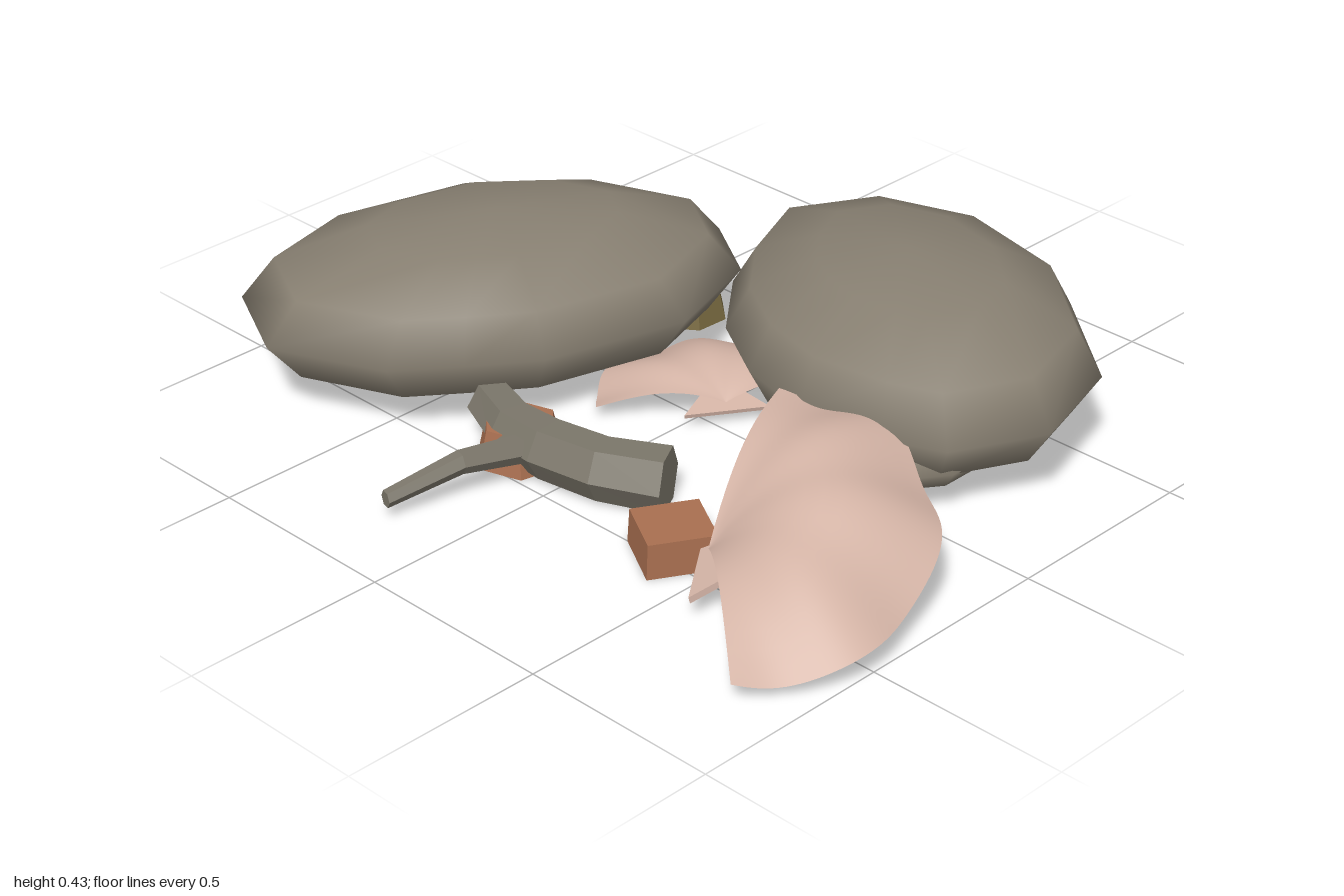
import * as THREE from 'three';
import { mergeVertices } from 'three/addons/utils/BufferGeometryUtils.js';

const paint = (name, color, side = THREE.FrontSide) => {
  const m = new THREE.MeshStandardMaterial({ color, side });
  m.name = name;
  return m;
};

// Skin a list of equal-length closed rings, smooth or faceted
function loft(rings, smooth) {
  const n = rings[0].length, pos = rings.flat().flat(), index = [];
  for (let i = 0; i < rings.length - 1; i++) {
    for (let j = 0; j < n; j++) {
      const a = i * n + j, b = i * n + (j + 1) % n;
      index.push(a, a + n, b, b, a + n, b + n);
    }
  }
  let g = new THREE.BufferGeometry();
  g.setAttribute('position', new THREE.Float32BufferAttribute(pos, 3));
  g.setIndex(index);
  g = smooth ? mergeVertices(g, 1e-4) : g.toNonIndexed();
  g.computeVertexNormals();
  return g;
}

// Flattened stone: plan outline swept through latitude steps
function stoneGeometry(outline, cx, cz, cy, ry) {
  const rings = [];
  for (let i = 0; i <= 6; i++) {
    const a = -Math.PI / 2 + i * Math.PI / 6, c = Math.cos(a);
    rings.push(outline.map(([x, z]) => [cx + (x - cx) * c, cy + ry * Math.sin(a), cz + (z - cz) * c]));
  }
  return loft(rings, true);
}

// Six-sided tapering limb along points [x, y, z, radius]
function limbGeometry(path) {
  const rings = path.map(([x, y, z, r], i) => {
    const p = path[Math.max(0, i - 1)], q = path[Math.min(path.length - 1, i + 1)];
    const d = new THREE.Vector3(q[0] - p[0], 0, q[2] - p[2]).normalize();
    return Array.from({ length: 6 }, (_, k) => {
      const a = (k + 0.5) * Math.PI / 3, c = Math.cos(a) * r, s = Math.sin(a) * r;
      return [x + d.z * s, y + c, z - d.x * s];
    });
  });
  const cap = ([x, y, z]) => Array.from({ length: 6 }, () => [x, y, z]);
  return loft([cap(path[0]), ...rings, cap(path[path.length - 1])], false);
}

// Ribbed fan, hinge at the origin, opening toward local +z
function fanGeometry({ rimY, tilt, dome }) {
  const g = new THREE.PlaneGeometry(1, 1, 80, 12), p = g.attributes.position;
  for (let i = 0; i < p.count; i++) {
    const th = p.getX(i) * 3.3, t = 0.5 - p.getY(i);
    const rib = Math.cos(th * 7) * t * t;
    const k = t * (1 + 0.02 * rib);
    const s = 0.43 * Math.sin(th) * k, a = (0.13 + 0.36 * Math.cos(th)) * k;
    const hump = dome * Math.sin(Math.PI * Math.pow(t, 0.9)) * (0.55 + 0.45 * Math.cos(th));
    p.setXYZ(i, s, rimY * t + tilt * s + hump + 0.012 * rib, a);
  }
  g.computeVertexNormals();
  return g;
}

// Flat hinge ears of a shell
function earGeometry() {
  const s = new THREE.Shape([[-0.15, -0.02], [0.15, -0.02], [0.06, 0.09], [-0.06, 0.09]]
    .map(([x, y]) => new THREE.Vector2(x, -y)));
  const g = new THREE.ExtrudeGeometry(s, { depth: 0.015, bevelEnabled: false });
  return g.rotateX(-Math.PI / 2);
}

// Low faceted chip with a flat base
function chipGeometry(r, h, sides, taper = 0.85) {
  const g = new THREE.CylinderGeometry(r * taper, r, h, sides).toNonIndexed();
  g.computeVertexNormals();
  return g.translate(0, h / 2, 0);
}

export function createModel() {
  const model = new THREE.Group();
  model.name = 'beachStonesAndShells';
  const stone = paint('stoneGrey', 0x877f71);
  const wood = paint('driftwoodGrey', 0x7b766a);
  const pink = paint('shellPink', 0xd3b3a5, THREE.DoubleSide);
  const clay = paint('terracotta', 0xa96f50);
  const olive = paint('oliveBrown', 0x77683f);

  const add = (parent, name, geo, mat, pos = [0, 0, 0], turn = 0) => {
    const m = new THREE.Mesh(geo, mat);
    m.name = name;
    m.position.set(...pos);
    m.rotation.y = turn;
    parent.add(m);
    return m;
  };

  // Two large stones and a smaller one tucked underneath
  const back = [[-0.72, -0.69], [-0.6, -0.93], [-0.31, -1], [0.07, -0.9], [0.34, -0.66], [0.45, -0.37],
    [0.33, -0.18], [0.05, -0.09], [-0.31, -0.19], [-0.46, -0.3], [-0.6, -0.41]];
  const front = [[0.49, -0.23], [0.72, -0.1], [0.81, 0.17], [0.73, 0.51], [0.5, 0.79], [0.22, 0.87],
    [0, 0.76], [-0.06, 0.62], [-0.09, 0.4], [-0.04, 0.2], [0.07, 0.02], [0.25, -0.13]];
  const under = Array.from({ length: 10 }, (_, i) => {
    const a = i * Math.PI / 5;
    return [0.14 + 0.25 * Math.cos(a), 0.5 + 0.24 * Math.sin(a)];
  });
  add(model, 'backStone', stoneGeometry(back, -0.13, -0.55, 0.2, 0.2), stone);
  add(model, 'frontStone', stoneGeometry(front, 0.36, 0.32, 0.217, 0.213), stone);
  add(model, 'underStone', stoneGeometry(under, 0.14, 0.5, 0.12, 0.09), stone);

  // Driftwood with one side twig
  add(model, 'driftwood', limbGeometry([[-0.38, 0.075, -0.3, 0.06], [-0.43, 0.075, -0.17, 0.068],
    [-0.435, 0.075, -0.05, 0.072], [-0.41, 0.075, 0.1, 0.074], [-0.335, 0.07, 0.235, 0.078]]), wood);
  add(model, 'twig', limbGeometry([[-0.44, 0.075, -0.08, 0.036], [-0.63, 0.09, -0.13, 0.028],
    [-0.81, 0.05, -0.18, 0.021]]), wood);

  // Two fan shells with hinge ears
  const shells = [
    { name: 'largeShell', pos: [-0.5, 0.09, 0.52], turn: 0.6435, size: 1, rimY: 0.05, tilt: 0.24, dome: 0.13, earY: -0.04 },
    { name: 'smallShell', pos: [0.03, 0.05, 0.06], turn: 2.56, size: 0.68, rimY: -0.03, tilt: 0, dome: 0.09, earY: -0.03 },
  ];
  for (const s of shells) {
    const shell = new THREE.Group();
    shell.name = s.name;
    shell.position.set(...s.pos);
    shell.rotation.y = s.turn;
    shell.scale.setScalar(s.size);
    add(shell, 'fan', fanGeometry(s), pink);
    add(shell, 'hingeEars', earGeometry(), pink, [0, s.earY, 0]).rotation.x = -0.25;
    model.add(shell);
  }

  // Clay shards and small pebbles
  add(model, 'squareShard', chipGeometry(0.118, 0.085, 4, 0.95), clay, [-0.47, 0, 0.385], 0.26);
  add(model, 'roundShard', chipGeometry(0.11, 0.095, 6, 0.8), clay, [-0.415, 0, -0.165], 0.3);
  add(model, 'frontPebble', chipGeometry(0.075, 0.05, 7), olive, [-0.54, 0, 0.8]);
  add(model, 'backPebble', chipGeometry(0.1, 0.065, 7), olive, [0.35, 0, -0.38], 0.4);
  return model;
}
